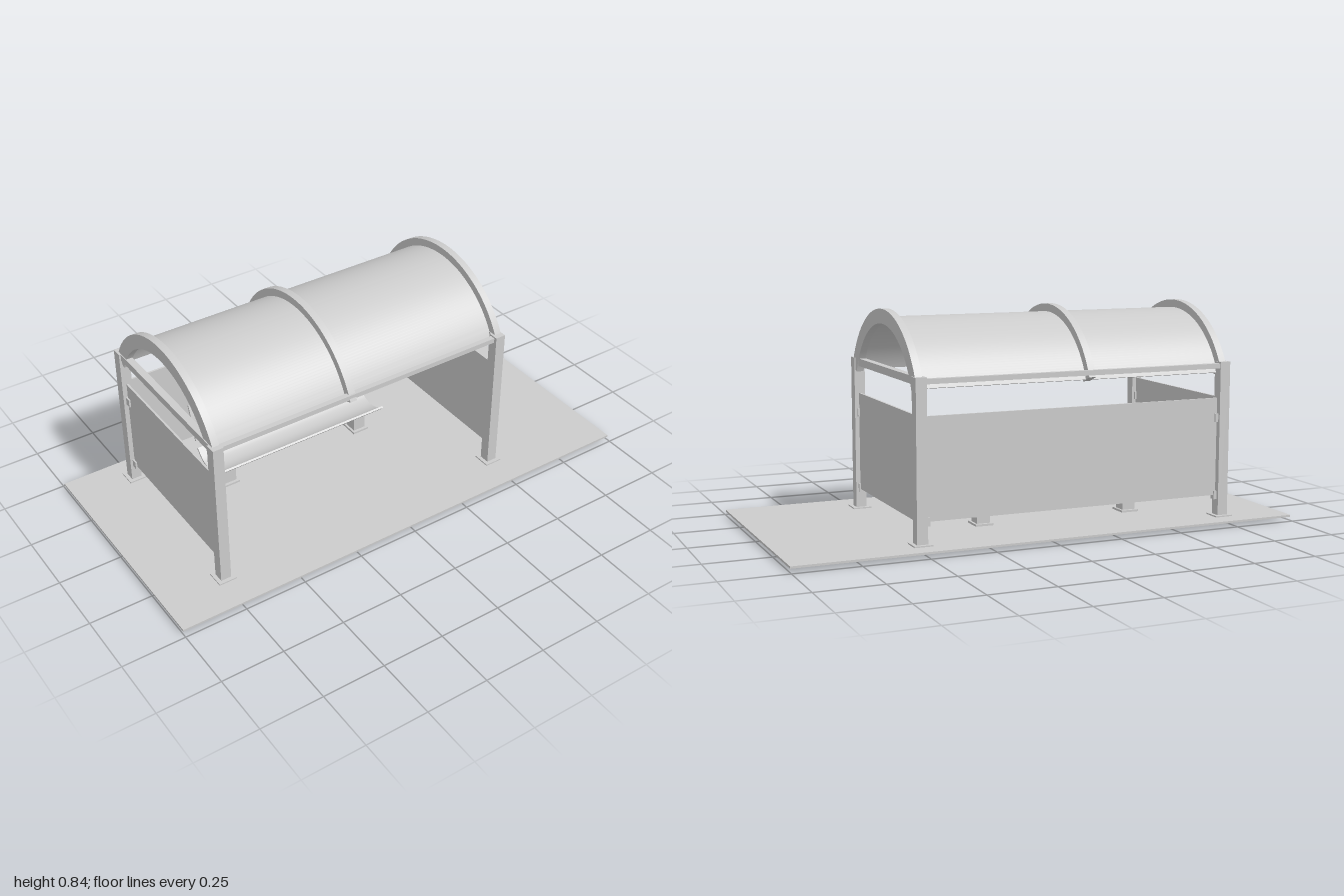
import * as THREE from 'three';
import { toCreasedNormals } from 'three/addons/utils/BufferGeometryUtils.js';

const material = new THREE.MeshStandardMaterial({ color: 0xcccccc });
const MID_Z = -0.025;                    // middle of the shelter, front to back
const POSTS_X = [-0.745, 0.494];
const POSTS_Z = [0.327, -0.376];

export function createModel() {
  const model = new THREE.Group();

  const add = (name, geometry) => {
    const mesh = new THREE.Mesh(geometry, material);
    mesh.name = name;
    model.add(mesh);
    return mesh;
  };

  // Box given by its limits on each axis
  const box = (name, x0, x1, y0, y1, z0, z1) => {
    const g = new THREE.BoxGeometry(x1 - x0, y1 - y0, z1 - z0);
    g.translate((x0 + x1) / 2, (y0 + y1) / 2, (z0 + z1) / 2);
    return add(name, g);
  };

  // Side profile drawn in (-z, y), extruded from x0 to x1
  const extrudeX = (name, shape, x0, x1) => {
    const g = new THREE.ExtrudeGeometry(shape, { depth: x1 - x0, bevelEnabled: false, curveSegments: 40 });
    g.rotateY(Math.PI / 2);
    g.translate(x0, 0, 0);
    return add(name, toCreasedNormals(g, 0.5));
  };

  // Band between two radii of the roof circle
  const arcBand = (inner, outer) => {
    const a0 = THREE.MathUtils.degToRad(22), a1 = Math.PI - a0;
    const s = new THREE.Shape();
    s.absarc(-MID_Z, 0.445, outer, a0, a1, false);
    s.absarc(-MID_Z, 0.445, inner, a1, a0, true);
    s.closePath();
    return s;
  };

  // Thin sheet of even thickness following a smooth curve of [z, y] points
  const sheet = (points, t) => {
    const curve = new THREE.SplineCurve(points.map(([z, y]) => new THREE.Vector2(-z, y)));
    const top = [], under = [];
    for (let i = 0; i <= 16; i++) {
      const p = curve.getPoint(i / 16), d = curve.getTangent(i / 16);
      top.push(p);
      under.unshift(new THREE.Vector2(p.x + d.y * t, p.y - d.x * t));
    }
    return new THREE.Shape([...top, ...under]);
  };

  // Ground
  box('groundSlab', -1, 1, 0.014, 0.022, -0.485, 0.485);

  // Posts with foot plates
  for (const x of POSTS_X) {
    for (const z of POSTS_Z) {
      box('post', x - 0.021, x + 0.021, 0.012, 0.625, z - 0.021, z + 0.021);
      box('footPlate', x - 0.036, x + 0.036, 0.008, 0.027, z - 0.036, z + 0.036);
    }
  }

  // Top rails
  const [xL, xR] = POSTS_X, [zF, zB] = POSTS_Z;
  for (const x of POSTS_X) box('sideRail', x - 0.014, x + 0.014, 0.596, 0.625, zB, zF);
  box('frontRail', xL, xR, 0.6, 0.619, zF - 0.012, zF + 0.009);
  box('backRail', xL, xR, 0.6, 0.619, zB - 0.018, zB + 0.003);

  // Vaulted roof and its ribs
  extrudeX('roofSheet', arcBand(0.359, 0.365), -0.74, 0.495);
  for (const x of [-0.742, -0.179, 0.497]) extrudeX('roofRib', arcBand(0.34, 0.395), x - 0.014, x + 0.014);

  // Wall panels
  for (const x of POSTS_X) box('sidePanel', x - 0.004, x + 0.004, 0.1, 0.485, zB + 0.024, zF - 0.022);
  box('backPanel', xL + 0.024, xR - 0.024, 0.105, 0.485, zB - 0.004, zB + 0.004);

  // Panel clamps
  for (const y of [0.105, 0.408]) {
    for (const x of POSTS_X) {
      box('sideClamp', x - 0.011, x + 0.011, y - 0.016, y + 0.016, zB + 0.02, zB + 0.045);
      box('sideClamp', x - 0.011, x + 0.011, y - 0.016, y + 0.016, zF - 0.029, zF - 0.02);
      const dir = x < 0 ? 1 : -1, near = x + dir * 0.02, far = x + dir * 0.034;
      box('backClamp', Math.min(near, far), Math.max(near, far), y - 0.016, y + 0.016, zB - 0.011, zB + 0.011);
    }
  }

  // Bench: dished seat and leaning back
  extrudeX('benchSeat', sheet([[-0.06, 0.153], [-0.09, 0.126], [-0.14, 0.114], [-0.19, 0.126], [-0.23, 0.162]], 0.008), -0.53, 0.24);
  extrudeX('benchBack', sheet([[-0.24, 0.188], [-0.256, 0.24], [-0.269, 0.288], [-0.285, 0.335]], 0.008), -0.53, 0.24);

  // Straps joining seat and back
  for (const x of [-0.355, 0.11]) {
    extrudeX('benchStrap', sheet([[-0.15, 0.109], [-0.205, 0.124], [-0.238, 0.168], [-0.262, 0.235]], 0.012), x - 0.013, x + 0.013);
  }

  // Bench legs
  for (const x of [-0.452, 0.168]) {
    box('benchLeg', x - 0.027, x + 0.027, 0.02, 0.112, -0.176, -0.12);
    box('benchFoot', x - 0.036, x + 0.036, 0, 0.03, -0.189, -0.108);
  }

  return model;
}
